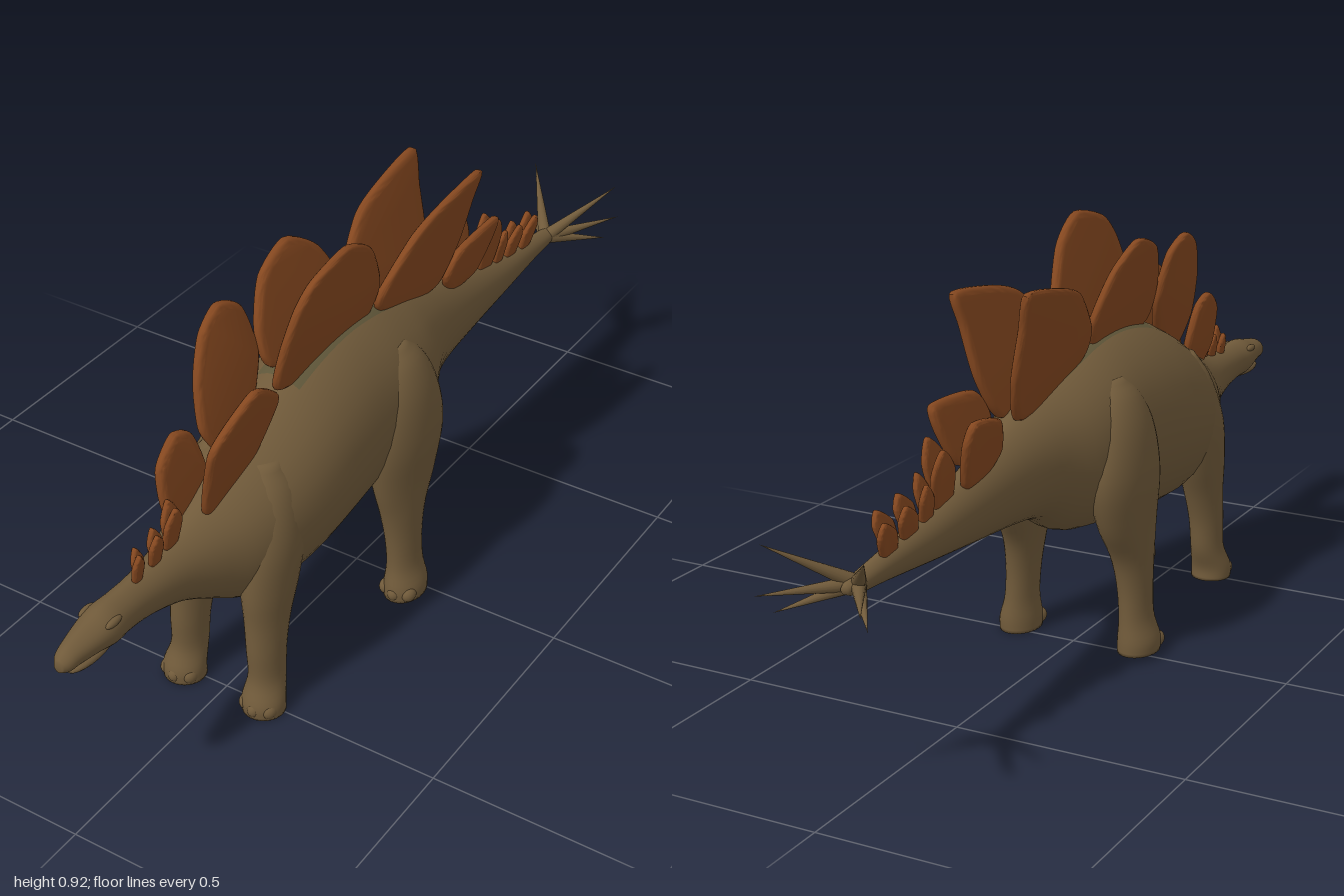
import * as THREE from 'three';
import { toCreasedNormals } from 'three/addons/utils/BufferGeometryUtils.js';

const skin = new THREE.MeshStandardMaterial({ color: 0x705a3a });
skin.name = 'brown skin';
const ridge = new THREE.MeshStandardMaterial({ color: 0x5f5639 });
ridge.name = 'grey green back';
const horn = new THREE.MeshStandardMaterial({ color: 0x84471f });
horn.name = 'rust plate';

const SEG = 32;

// Closed skin over rings; point(i, angle) gives a position. isRidge marks quads for the second material.
function loft(count, point, isRidge = () => false) {
  const pos = [], main = [], back = [];
  for (let i = 0; i < count; i++) {
    for (let j = 0; j < SEG; j++) pos.push(...point(i, (j / SEG) * Math.PI * 2));
  }
  for (let i = 0; i < count - 1; i++) {
    for (let j = 0; j < SEG; j++) {
      const a = i * SEG + j, b = i * SEG + ((j + 1) % SEG);
      (isRidge(i, j) ? back : main).push(a, b, b + SEG, a, b + SEG, a + SEG);
    }
  }
  for (const i of [0, count - 1]) {
    const c = [0, 0, 0];
    for (let j = 0; j < SEG; j++) for (let k = 0; k < 3; k++) c[k] += pos[(i * SEG + j) * 3 + k] / SEG;
    const id = pos.length / 3;
    pos.push(...c);
    for (let j = 0; j < SEG; j++) {
      const a = i * SEG + j, b = i * SEG + ((j + 1) % SEG);
      if (i === 0) main.push(id, b, a);
      else main.push(id, a, b);
    }
  }
  const geo = new THREE.BufferGeometry();
  geo.setAttribute('position', new THREE.Float32BufferAttribute(pos, 3));
  geo.setIndex([...main, ...back]);
  geo.addGroup(0, main.length, 0);
  geo.addGroup(main.length, back.length, 1);
  geo.computeVertexNormals();
  return geo;
}

// Smoothly resample rows of numbers
function resample(rows, n) {
  const curve = (k) => new THREE.CatmullRomCurve3(
    rows.map((r) => new THREE.Vector3(r[k] ?? 0, r[k + 1] ?? 0, r[k + 2] ?? 0)), false, 'catmullrom', 0.5);
  const a = curve(0), b = curve(3);
  return Array.from({ length: n }, (_, i) => {
    const t = i / (n - 1);
    return [...a.getPoint(t).toArray(), ...b.getPoint(t).toArray()];
  });
}

// z, top, bottom, half width: from tail tip to snout
const BODY = [
  [-0.88, 0.432, 0.415, 0.008], [-0.85, 0.44, 0.405, 0.018], [-0.75, 0.457, 0.398, 0.024],
  [-0.6, 0.485, 0.385, 0.036], [-0.45, 0.525, 0.373, 0.05], [-0.3, 0.575, 0.362, 0.07],
  [-0.2, 0.612, 0.345, 0.095], [-0.1, 0.648, 0.29, 0.135], [0, 0.678, 0.268, 0.15],
  [0.1, 0.69, 0.252, 0.152], [0.2, 0.682, 0.238, 0.156], [0.3, 0.655, 0.228, 0.156],
  [0.4, 0.61, 0.228, 0.145], [0.5, 0.555, 0.25, 0.12], [0.58, 0.515, 0.298, 0.083],
  [0.66, 0.49, 0.345, 0.054], [0.75, 0.478, 0.375, 0.04], [0.82, 0.477, 0.387, 0.038],
  [0.87, 0.477, 0.39, 0.042], [0.91, 0.468, 0.4, 0.037], [0.96, 0.458, 0.405, 0.027],
  [0.985, 0.449, 0.405, 0.021], [1.0, 0.435, 0.412, 0.01],
];

// y, centre x, centre z, half width, half length
const HIND = [
  [0, 0.145, 0.028, 0.044, 0.058], [0.03, 0.145, 0.028, 0.044, 0.058], [0.08, 0.14, 0.025, 0.035, 0.05],
  [0.15, 0.136, 0.025, 0.036, 0.052], [0.22, 0.131, 0.022, 0.042, 0.066], [0.3, 0.125, 0.008, 0.051, 0.1],
  [0.4, 0.12, 0, 0.063, 0.12], [0.5, 0.115, 0, 0.058, 0.1], [0.57, 0.1, 0, 0.047, 0.07], [0.61, 0.085, 0, 0.025, 0.03],
];
const FORE = [
  [0, 0.1, 0.508, 0.046, 0.046], [0.03, 0.1, 0.508, 0.046, 0.046], [0.08, 0.097, 0.49, 0.037, 0.045],
  [0.15, 0.095, 0.486, 0.038, 0.05], [0.22, 0.092, 0.475, 0.042, 0.06], [0.3, 0.09, 0.46, 0.05, 0.078],
  [0.4, 0.086, 0.44, 0.056, 0.085], [0.5, 0.072, 0.42, 0.05, 0.065], [0.56, 0.055, 0.42, 0.03, 0.03],
];

// Upright plates as [z, y] outlines; side +1 is the model's left
const PLATES = [
  ['neckPlate', 1, [[0.6, 0.66], [0.57, 0.71], [0.48, 0.76], [0.4, 0.71], [0.385, 0.67], [0.44, 0.56], [0.57, 0.5]]],
  ['backPlate', 1, [[0.335, 0.66], [0.34, 0.75], [0.315, 0.84], [0.27, 0.89], [0.16, 0.915], [0.06, 0.86], [-0.015, 0.73], [0.03, 0.64], [0.2, 0.63]]],
  ['hipPlate', 1, [[-0.02, 0.66], [-0.015, 0.71], [-0.11, 0.8], [-0.2, 0.83], [-0.355, 0.848], [-0.35, 0.78], [-0.335, 0.67], [-0.28, 0.58], [-0.13, 0.6]]],
  ['tailPlate', 1, [[-0.3, 0.59], [-0.34, 0.65], [-0.49, 0.66], [-0.495, 0.61], [-0.45, 0.53], [-0.35, 0.53]]],
  ['neckPlate', -1, [[0.635, 0.53], [0.63, 0.62], [0.57, 0.665], [0.52, 0.64], [0.5, 0.54], [0.58, 0.48]]],
  ['shoulderPlate', -1, [[0.5, 0.63], [0.485, 0.73], [0.44, 0.81], [0.375, 0.845], [0.31, 0.81], [0.29, 0.7], [0.35, 0.6], [0.45, 0.56]]],
  ['backPlate', -1, [[0.285, 0.67], [0.29, 0.75], [0.24, 0.84], [0.14, 0.875], [0.05, 0.82], [0.0, 0.72], [0.04, 0.64], [0.2, 0.63]]],
  ['hipPlate', -1, [[-0.03, 0.66], [-0.025, 0.72], [-0.11, 0.81], [-0.2, 0.84], [-0.345, 0.86], [-0.34, 0.78], [-0.33, 0.67], [-0.28, 0.58], [-0.13, 0.6]]],
  ['tailPlate', -1, [[-0.37, 0.55], [-0.4, 0.62], [-0.5, 0.64], [-0.52, 0.59], [-0.49, 0.5], [-0.41, 0.51]]],
];
// Small plates: z, length, base y, tip y, backward sweep
const SMALL = [
  [0.77, 0.03, 0.47, 0.535, 0], [0.715, 0.038, 0.475, 0.545, 0], [0.665, 0.05, 0.485, 0.575, 0.005],
  [-0.525, 0.08, 0.49, 0.615, 0.025], [-0.585, 0.045, 0.475, 0.56, 0.015], [-0.645, 0.06, 0.465, 0.54, 0.025],
  [-0.715, 0.06, 0.455, 0.53, 0.03],
];

function plate(name, side, outline, thick, lean, x0) {
  const curve = new THREE.CatmullRomCurve3(outline.map(([z, y]) => new THREE.Vector3(z, y, 0)), true, 'catmullrom', 0.35);
  const shape = new THREE.Shape(curve.getPoints(48).slice(0, -1).map((p) => new THREE.Vector2(p.x, p.y)));
  const geo = new THREE.ExtrudeGeometry(shape, {
    depth: thick * 0.3, bevelThickness: thick * 0.35, bevelSize: thick * 0.6, bevelOffset: -thick * 0.6, bevelSegments: 3,
  });
  geo.translate(0, 0, -thick * 0.15).rotateY(-Math.PI / 2);
  const base = Math.min(...outline.map((p) => p[1]));
  const p = geo.attributes.position;
  for (let i = 0; i < p.count; i++) p.setX(i, p.getX(i) + side * (x0 + lean * (p.getY(i) - base)));
  const mesh = new THREE.Mesh(toCreasedNormals(geo, 0.8), horn);
  mesh.name = name;
  return mesh;
}

export function createModel() {
  const model = new THREE.Group();
  const add = (name, geo, material = skin) => {
    const mesh = new THREE.Mesh(geo, material);
    mesh.name = name;
    model.add(mesh);
    return mesh;
  };

  // Body, neck, head and tail in one skin
  const rings = resample(BODY, 100);
  add('body', loft(rings.length, (i, a) => {
    const [z, top, bottom, w] = rings[i], s = Math.sin(a);
    const pinch = s > 0 ? 1 - 0.2 * s ** 4 : 1;
    return [w * Math.cos(a) * pinch, (top + bottom) / 2 + ((top - bottom) / 2) * s, z];
  }, (i, j) => j >= 6 && j <= 9 && rings[i][0] > -0.25 && rings[i][0] < 0.28), [skin, ridge]);

  // Lower jaw
  const ball = new THREE.SphereGeometry(1, 20, 14);
  const jaw = add('lowerJaw', ball);
  jaw.scale.set(0.022, 0.013, 0.065);
  jaw.position.set(0, 0.394, 0.91);

  for (const side of [1, -1]) {
    // Legs and toes
    for (const [name, rows, toeZ] of [['hindLeg', HIND, 0.072], ['foreLeg', FORE, 0.54]]) {
      const r = resample(rows, 36);
      add(name, loft(r.length, (i, a) => {
        const [y, x, z, rx, rz] = r[i];
        return [side * x + rx * Math.sin(a), y, z + rz * Math.cos(a)];
      }));
      for (let k = -1; k <= 1; k++) {
        const toe = add('toe', ball);
        toe.scale.set(0.016, 0.018, 0.02);
        toe.position.set(side * rows[0][1] + k * 0.028, 0.018, toeZ - Math.abs(k) * 0.012);
      }
    }
    // Brow ridge
    const brow = add('brow', ball);
    brow.scale.set(0.008, 0.008, 0.022);
    brow.position.set(side * 0.032, 0.457, 0.875);

    // Tail spikes, each a cone from the tail end to its tip
    for (const tip of [[0.11, 0.525, -0.98], [0.112, 0.433, -1.0], [0.1, 0.39, -0.96]]) {
      const from = new THREE.Vector3(0, 0.422, -0.835);
      const to = new THREE.Vector3(side * tip[0], tip[1], tip[2]);
      const dir = to.clone().sub(from);
      const spike = add('tailSpike', new THREE.ConeGeometry(0.016, dir.length(), 14));
      spike.position.copy(from).add(to).multiplyScalar(0.5);
      spike.quaternion.setFromUnitVectors(new THREE.Vector3(0, 1, 0), dir.normalize());
    }
  }

  // Two staggered rows of plates
  for (const [name, side, outline] of PLATES) {
    const top = Math.max(...outline.map((p) => p[1])), base = Math.min(...outline.map((p) => p[1]));
    model.add(plate(name, side, outline, 0.022, (top > 0.7 ? 0.06 : 0.03) / (top - base), 0.02));
  }
  SMALL.forEach(([z, len, y0, y1, sweep], i) => {
    const h = len / 2, m = y0 + (y1 - y0) * 0.6;
    const outline = [[z + h * 0.7, y0], [z + h - sweep * 0.5, m], [z - sweep, y1], [z - h - sweep * 0.5, m], [z - h * 0.7, y0]];
    model.add(plate('smallPlate', 1, outline, 0.014, 0.15, 0.006));
    const offset = outline.map(([a, b]) => [a - 0.025, b - 0.012]);
    model.add(plate('smallPlate', -1, offset, 0.014, 0.15, 0.006));
  });

  return model;
}
